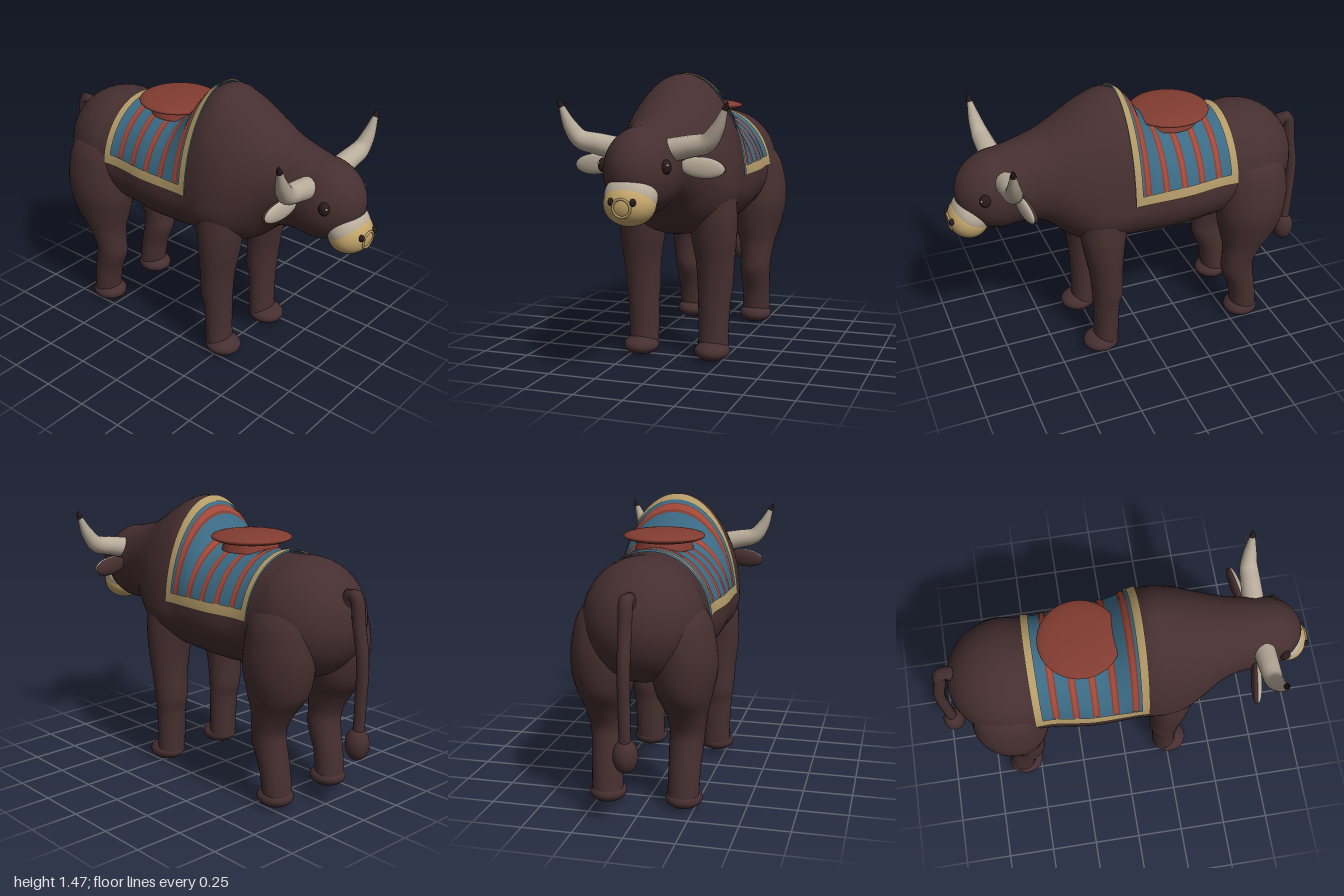
import * as THREE from 'three';
import { mergeVertices } from 'three/addons/utils/BufferGeometryUtils.js';

const mat = (name, color, side = THREE.FrontSide) => {
  const m = new THREE.MeshStandardMaterial({ color, side });
  m.name = name;
  return m;
};

// Smooth interpolation of rows keyed by their first (descending) column
function sample(rows, k) {
  let i = 0;
  while (i < rows.length - 2 && k < rows[i + 1][0]) i++;
  const a = rows[i], b = rows[i + 1], p = rows[Math.max(i - 1, 0)], n = rows[Math.min(i + 2, rows.length - 1)];
  const h = b[0] - a[0], t = (k - a[0]) / h, t2 = t * t, t3 = t2 * t;
  return a.map((_, c) => {
    const ma = (b[c] - p[c]) / (b[0] - p[0]) * h, mb = (n[c] - a[c]) / (n[0] - a[0]) * h;
    return (2 * t3 - 3 * t2 + 1) * a[c] + (t3 - 2 * t2 + t) * ma + (3 * t2 - 2 * t3) * b[c] + (t3 - t2) * mb;
  });
}

// Smooth surface over a grid of points fn(i, j)
function gridGeometry(nu, nv, fn) {
  const pos = [], idx = [];
  for (let i = 0; i <= nu; i++) for (let j = 0; j <= nv; j++) {
    pos.push(...fn(i, j));
    if (i < nu && j < nv) {
      const a = i * (nv + 1) + j, b = a + nv + 1;
      idx.push(a, a + 1, b, a + 1, b + 1, b);
    }
  }
  let g = new THREE.BufferGeometry();
  g.setAttribute('position', new THREE.Float32BufferAttribute(pos, 3));
  g.setIndex(idx);
  g = mergeVertices(g, 1e-5);
  g.computeVertexNormals();
  return g;
}

// Tube whose radius follows a list of radii
function taperedTube(points, radii) {
  const curve = new THREE.CatmullRomCurve3(points.map(p => new THREE.Vector3(...p)));
  const segs = 28, sides = 16, g = new THREE.TubeGeometry(curve, segs, 1, sides);
  const pos = g.attributes.position, v = new THREE.Vector3();
  for (let i = 0; i <= segs; i++) {
    const c = curve.getPointAt(i / segs), f = i / segs * (radii.length - 1);
    const k = Math.min(Math.floor(f), radii.length - 2);
    const r = THREE.MathUtils.lerp(radii[k], radii[k + 1], f - k);
    for (let j = 0; j <= sides; j++) {
      const n = i * (sides + 1) + j;
      v.fromBufferAttribute(pos, n).sub(c).multiplyScalar(r).add(c);
      pos.setXYZ(n, v.x, v.y, v.z);
    }
  }
  return g;
}

// Body sections: z, top, bottom, widest height, half width
const BODY = [
  [0.72, 1.24, 0.82, 1.03, 0.18], [0.6, 1.27, 0.83, 1.05, 0.19], [0.5, 1.3, 0.8, 1.04, 0.22],
  [0.4, 1.355, 0.71, 0.98, 0.265], [0.3, 1.415, 0.66, 0.92, 0.305], [0.2, 1.462, 0.66, 0.9, 0.318],
  [0.15, 1.47, 0.66, 0.9, 0.315], [0.1, 1.452, 0.655, 0.9, 0.31], [0.05, 1.41, 0.65, 0.9, 0.308],
  [0, 1.345, 0.648, 0.9, 0.31], [-0.05, 1.285, 0.646, 0.9, 0.312], [-0.1, 1.255, 0.645, 0.9, 0.314],
  [-0.2, 1.245, 0.645, 0.9, 0.312], [-0.4, 1.245, 0.66, 0.9, 0.288], [-0.58, 1.255, 0.645, 0.95, 0.3],
];
const HEAD_Z = 0.72, HEAD_R = 0.228, RUMP_Z = -0.58, RUMP_R = 0.31;

// Point on the body at z, at angle t from the spine, pushed out by off
function bodyPoint(z, t, off = 0) {
  const [, top, bot, cy, w] = sample(BODY, THREE.MathUtils.clamp(z, RUMP_Z, HEAD_Z));
  const u = z > HEAD_Z ? (z - HEAD_Z) / HEAD_R : z < RUMP_Z ? (RUMP_Z - z) / RUMP_R : 0;
  const s = Math.sqrt(Math.max(0, 1 - u * u)), c = Math.cos(t), ry = c > 0 ? top - cy : cy - bot;
  const nx = Math.sin(t) / w, ny = c / ry, l = Math.hypot(nx, ny);
  return [w * s * Math.sin(t) + off * nx / l, cy + ry * s * c + off * ny / l, z];
}
const angleAt = (z, y) => {
  const [, top, , cy] = sample(BODY, z);
  return Math.acos((y - cy) / (top - cy));
};

// Leg sections: y, centre x, centre z, half width, half depth
const FRONT_LEG = [
  [0.98, 0.16, 0.24, 0.06, 0.07], [0.9, 0.175, 0.24, 0.115, 0.125], [0.78, 0.19, 0.24, 0.122, 0.125],
  [0.65, 0.195, 0.24, 0.118, 0.107], [0.5, 0.2, 0.232, 0.1, 0.088], [0.37, 0.198, 0.226, 0.092, 0.082],
  [0.3, 0.195, 0.232, 0.085, 0.072], [0.15, 0.192, 0.235, 0.08, 0.067], [0.05, 0.192, 0.24, 0.08, 0.067],
];
const HIND_LEG = [
  [1.12, 0.14, -0.6, 0.03, 0.04], [1, 0.18, -0.6, 0.125, 0.16], [0.85, 0.2, -0.605, 0.152, 0.192],
  [0.72, 0.2, -0.6, 0.16, 0.192], [0.6, 0.2, -0.595, 0.137, 0.165], [0.5, 0.205, -0.57, 0.105, 0.117],
  [0.4, 0.205, -0.545, 0.088, 0.09], [0.33, 0.2, -0.545, 0.086, 0.09], [0.2, 0.197, -0.58, 0.08, 0.077],
  [0.05, 0.194, -0.6, 0.079, 0.074],
];

export function createModel() {
  const group = new THREE.Group();
  const hide = mat('dark brown hide', 0x462f30), horn = mat('pale horn', 0xb9ad9b);
  const muzzleTan = mat('muzzle tan', 0xc4a56b), dark = mat('near black', 0x2a1a1b);
  const blue = mat('cloth blue', 0x3b6a84, THREE.DoubleSide), gold = mat('cloth gold', 0xb39a68, THREE.DoubleSide);
  const red = mat('stripe red', 0xa24838, THREE.DoubleSide), maroon = mat('seat maroon', 0x823c31, THREE.DoubleSide);

  const add = (name, geo, m, p = [0, 0, 0], rot = [0, 0, 0]) => {
    const mesh = new THREE.Mesh(geo, m);
    mesh.name = name;
    mesh.position.set(...p);
    mesh.rotation.set(...rot);
    group.add(mesh);
    return mesh;
  };
  const ball = (name, m, p, r, rot) => add(name, new THREE.SphereGeometry(1, 36, 24), m, p, rot).scale.set(...r);

  // Torso and head as one skin with rounded ends
  const zs = [];
  for (let i = 0; i < 14; i++) zs.push(HEAD_Z + HEAD_R * Math.cos(i / 14 * Math.PI / 2));
  for (let i = 0; i < 70; i++) zs.push(HEAD_Z + (RUMP_Z - HEAD_Z) * i / 70);
  for (let i = 0; i <= 14; i++) zs.push(RUMP_Z - RUMP_R * Math.sin(i / 14 * Math.PI / 2));
  add('body', gridGeometry(zs.length - 1, 56, (i, j) => bodyPoint(zs[i], j / 56 * Math.PI * 2)), hide);

  // Legs and feet
  const leg = (name, rows, s, footZ) => {
    const y0 = rows[0][0], y1 = rows[rows.length - 1][0];
    add(name, gridGeometry(48, 28, (i, j) => {
      const [y, x, z, rx, rz] = sample(rows, y0 + (y1 - y0) * i / 48), a = j / 28 * Math.PI * 2;
      return [s * x + rx * Math.cos(a), y, z + rz * Math.sin(a)];
    }), hide);
    ball(name + 'Foot', hide, [s * 0.195, 0.055, footZ], [0.092, 0.052, 0.097]);
  };

  for (const s of [1, -1]) {
    const side = s > 0 ? 'left' : 'right';
    leg(side + 'FrontLeg', FRONT_LEG, s, 0.268);
    leg(side + 'HindLeg', HIND_LEG, s, -0.583);

    // Horn with dark tip
    add(side + 'Horn', taperedTube([[s * 0.1, 1.12, 0.715], [s * 0.22, 1.145, 0.72], [s * 0.315, 1.168, 0.725],
      [s * 0.365, 1.23, 0.735], [s * 0.406, 1.325, 0.745]], [0.058, 0.054, 0.049, 0.034, 0.013]), horn);
    add(side + 'HornTip', taperedTube([[s * 0.403, 1.317, 0.744], [s * 0.412, 1.337, 0.746], [s * 0.419, 1.358, 0.748]],
      [0.016, 0.011, 0.001]), dark);

    // Ear: brown back, pale inside
    ball(side + 'Ear', hide, [s * 0.27, 1.045, 0.655], [0.11, 0.048, 0.022], [0, s * 0.15, s * -0.08]);
    ball(side + 'EarInner', horn, [s * 0.272, 1.045, 0.667], [0.107, 0.05, 0.02], [0, s * 0.15, s * -0.08]);

    // Eye with a small pale glint, and nostril
    ball(side + 'Eye', dark, [s * 0.155, 1.06, 0.83], [0.024, 0.034, 0.028]);
    ball(side + 'EyeGlint', horn, [s * 0.168, 1.07, 0.851], [0.006, 0.006, 0.006]);
    ball(side + 'Nostril', dark, [s * 0.053, 0.913, 0.983], [0.014, 0.018, 0.016]);
  }

  // Muzzle, pale rim and nose ring
  ball('muzzleRim', horn, [0, 0.925, 0.875], [0.127, 0.106, 0.1]);
  ball('muzzle', muzzleTan, [0, 0.895, 0.89], [0.124, 0.105, 0.106]);
  add('noseRing', new THREE.TorusGeometry(0.042, 0.006, 10, 32), gold, [0, 0.886, 0.989], [0.1, 0, 0]);

  // Tail and tuft
  add('tail', taperedTube([[0, 1.06, -0.84], [0, 1.115, -0.875], [0, 1.1, -0.905], [0, 0.98, -0.925], [0, 0.8, -0.955],
    [0, 0.6, -0.952], [0, 0.4, -0.942]], [0.034, 0.034, 0.032, 0.031, 0.03, 0.029, 0.028]), hide);
  ball('tailTuft', hide, [0, 0.385, -0.94], [0.06, 0.083, 0.06]);

  // Cloth sheets follow the back; yHigh limits a sheet to strips on both flanks
  const sheet = (name, m, z0, z1, yLow, off, yHigh) => {
    const nu = Math.max(2, Math.ceil((z0 - z1) / 0.015));
    for (const s of yHigh ? [1, -1] : [1]) {
      const nv = yHigh ? 4 : 48;
      add(name, gridGeometry(nu, nv, (i, j) => {
        const z = z0 + (z1 - z0) * i / nu, low = angleAt(z, yLow), from = yHigh ? angleAt(z, yHigh) : -low;
        const f = s > 0 ? j / nv : 1 - j / nv;
        return bodyPoint(z, s * (from + (low - from) * f), off);
      }), m);
    }
  };
  sheet('blanket', blue, 0.11, -0.47, 0.95, 0.008);
  for (const z of [0.04, -0.06, -0.16, -0.26, -0.36]) {
    sheet('stripeEdge', maroon, z + 0.018, z - 0.018, 1, 0.011);
    sheet('stripe', red, z + 0.01, z - 0.01, 1, 0.014);
  }
  sheet('frontTrim', gold, 0.11, 0.07, 0.95, 0.016);
  sheet('backTrim', gold, -0.43, -0.47, 0.95, 0.016);
  sheet('sideTrim', gold, 0.11, -0.47, 0.95, 0.016, 1.0);

  // Round seat on a short base
  add('seatBase', new THREE.CylinderGeometry(0.13, 0.15, 0.06, 40), maroon, [0, 1.26, -0.19]);
  ball('seat', maroon, [0, 1.295, -0.195], [0.207, 0.034, 0.207]);

  return group;
}
